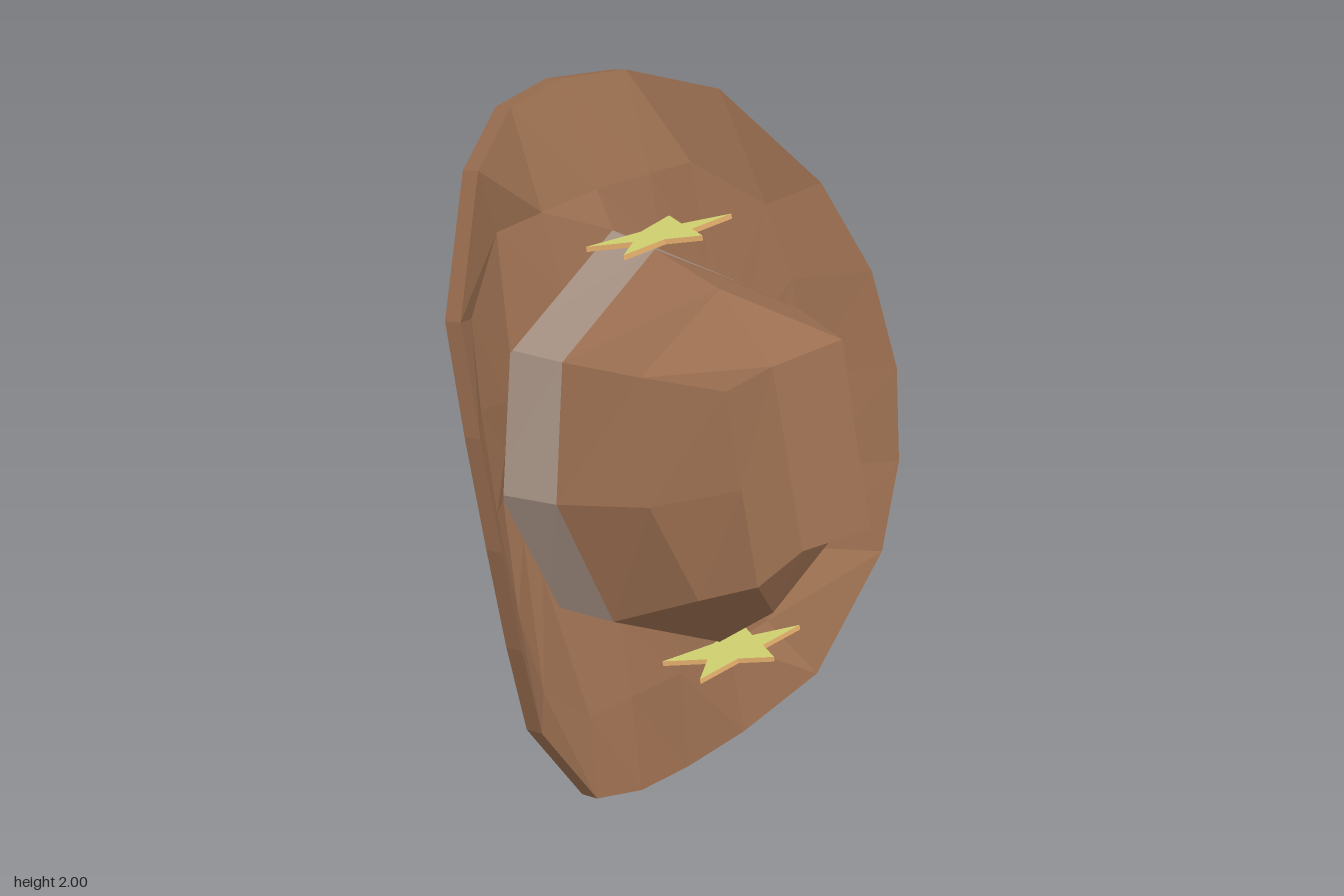
import * as THREE from 'three';

const felt = new THREE.MeshStandardMaterial({ color: 0x9a6e50, side: THREE.DoubleSide });
felt.name = 'brown felt';
const ribbon = new THREE.MeshStandardMaterial({ color: 0xa69284, side: THREE.DoubleSide });
ribbon.name = 'grey ribbon';
const brass = new THREE.MeshStandardMaterial({ color: 0xd8d874 });
brass.name = 'yellow brass';
const brassEdge = new THREE.MeshStandardMaterial({ color: 0xdfaa6a });
brassEdge.name = 'tan edge';

// Mirrors a half outline (top to bottom on +x) into a closed ring
function ring(half) {
  const pts = half.map((p) => new THREE.Vector3(...p));
  const other = pts.slice(1, -1).reverse().map((p) => new THREE.Vector3(-p.x, p.y, p.z));
  return pts.concat(other);
}

// Flat-faced skin between successive rings
function loft(rings) {
  const out = [];
  const tri = (a, b, c) => {
    const area = b.clone().sub(a).cross(c.clone().sub(a)).length();
    if (area > 1e-7) for (const v of [a, b, c]) out.push(v.x, v.y, v.z);
  };
  for (let r = 0; r < rings.length - 1; r++) {
    const A = rings[r], B = rings[r + 1], n = A.length;
    for (let i = 0; i < n; i++) {
      const j = (i + 1) % n;
      tri(A[i], B[j], A[j]);
      tri(A[i], B[i], B[j]);
    }
  }
  const g = new THREE.BufferGeometry();
  g.setAttribute('position', new THREE.Float32BufferAttribute(out, 3));
  g.computeVertexNormals();
  return g;
}

function addMesh(parent, name, geometry, material) {
  const m = new THREE.Mesh(geometry, material);
  m.name = name;
  parent.add(m);
  return m;
}

const shift = (half, dy, dz) => half.map(([x, y, z]) => [x, y + dy, z + dz]);

export function createModel() {
  const hat = new THREE.Group();
  hat.name = 'hat';

  // Brim outlines: curled rim, middle and head opening
  const rim = [
    [0, 2, -0.44], [0.21, 1.98, -0.41], [0.44, 1.9, -0.28], [0.67, 1.61, -0.1],
    [0.74, 1.36, 0.04], [0.76, 1.08, 0.13], [0.74, 0.8, 0.17], [0.68, 0.52, 0.17],
    [0.45, 0.18, 0.13], [0.21, 0.055, 0.06], [0, 0.02, 0.035],
  ];
  const middle = [
    [0, 1.72, -0.31], [0.2, 1.71, -0.31], [0.36, 1.7, -0.31], [0.55, 1.55, -0.2],
    [0.59, 1.33, -0.13], [0.6, 1.05, -0.07], [0.59, 0.77, -0.01], [0.55, 0.53, 0.035],
    [0.36, 0.35, 0.01], [0.2, 0.34, 0.01], [0, 0.33, 0.01],
  ];
  const opening = [
    [0, 1.62, -0.25], [0.19, 1.5, -0.25], [0.38, 1.38, -0.25], [0.42, 1.26, -0.22],
    [0.46, 1.14, -0.19], [0.5, 1.02, -0.16], [0.46, 0.9, -0.13], [0.42, 0.78, -0.1],
    [0.38, 0.66, -0.07], [0.19, 0.56, -0.04], [0, 0.46, -0.01],
  ];
  const under = [shift(opening, 0, -0.06), shift(middle, 0, -0.06), shift(rim, -0.015, -0.06)];
  addMesh(hat, 'brim', loft([...under, rim, middle, opening].map(ring)), felt);

  // Ribbon band around the base of the crown
  const bandBase = shift([0, 2, 5, 8, 10].map((i) => opening[i]), 0, -0.06);
  const bandTop = [[0, 1.61, -0.09], [0.35, 1.4, -0.08], [0.455, 1.05, 0], [0.35, 0.69, 0.1], [0, 0.5, 0.16]];
  addMesh(hat, 'band', loft([bandBase, bandTop].map(ring)), ribbon);

  // Crown with a pinched top
  const crownMiddle = [[0, 1.57, 0.15], [0.3, 1.42, 0.16], [0.36, 1.1, 0.25], [0.28, 0.83, 0.35], [0, 0.68, 0.36]];
  const crownEdge = [[0, 1.41, 0.34], [0.22, 1.43, 0.385], [0.22, 1.17, 0.443], [0.22, 0.91, 0.505], [0, 0.91, 0.46]];
  const crease = [[0, 1.41, 0.34], [0, 1.41, 0.34], [0, 1.16, 0.4], [0, 0.91, 0.46], [0, 0.91, 0.46]];
  addMesh(hat, 'crown', loft([bandTop, crownMiddle, crownEdge, crease].map(ring)), felt);

  // Two star badges standing out from the brim
  const tips = [[0, -0.09], [0.05, 0], [0.2, 0], [0.09, 0.08], [0.155, 0.195], [0, 0.145]];
  const outline = tips.concat(tips.slice(1, -1).reverse().map(([x, y]) => [-x, y]));
  const star = new THREE.ExtrudeGeometry(
    new THREE.Shape(outline.map(([x, y]) => new THREE.Vector2(x, y))),
    { depth: 0.014, bevelEnabled: false },
  );
  star.translate(0, 0, -0.007);
  star.rotateX(-Math.PI / 2 - 0.24);
  for (const [name, y, z] of [['upperStar', 1.673, 0], ['lowerStar', 0.513, 0.28]]) {
    addMesh(hat, name, star, [brass, brassEdge]).position.set(0, y, z);
  }
  return hat;
}
